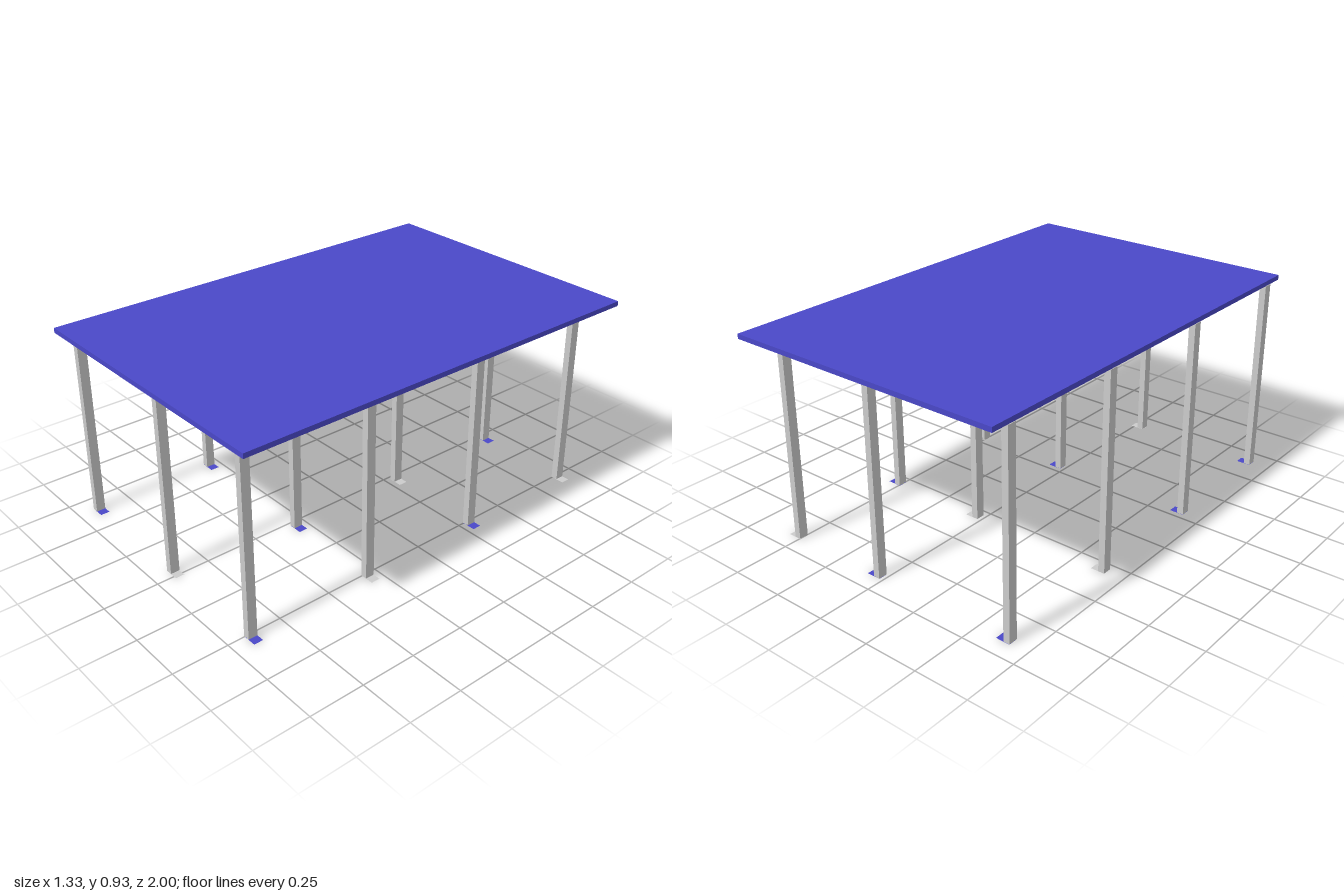
import * as THREE from 'three';

export function createModel() {
  const model = new THREE.Group();
  const blue = new THREE.MeshStandardMaterial({ color: 0x4a48c8 });
  const grey = new THREE.MeshStandardMaterial({ color: 0xcccccc });
  const blueThin = new THREE.MeshStandardMaterial({ color: 0x4a48c8, side: THREE.DoubleSide });
  const greyThin = new THREE.MeshStandardMaterial({ color: 0xcccccc, side: THREE.DoubleSide });

  const add = (name, geometry, material, x, y, z, parent = model) => {
    const mesh = new THREE.Mesh(geometry, material);
    mesh.name = name;
    mesh.position.set(x, y, z);
    parent.add(mesh);
  };

  // Flat roof slab
  const roofBottom = 0.903, roofThickness = 0.022;
  add('roof', new THREE.BoxGeometry(1.326, roofThickness, 2), blue, 0, roofBottom + roofThickness / 2, 0);

  // Posts, each on a paper-thin base plate reaching out to +x
  const postWidth = 0.03, postDepth = 0.042, plateReach = 0.036, lift = 0.001;
  const postGeometry = new THREE.BoxGeometry(postWidth, roofBottom - lift, postDepth);
  const plateGeometry = new THREE.PlaneGeometry(postWidth + plateReach, postDepth).rotateX(-Math.PI / 2);

  const addPost = (x, z, bluePlate) => {
    const post = new THREE.Group();
    post.name = 'post';
    post.position.set(x, 0, z);
    add('postShaft', postGeometry, grey, 0, (roofBottom + lift) / 2, 0, post);
    add('basePlate', plateGeometry, bluePlate ? blueThin : greyThin, plateReach / 2, 0, 0, post);
    model.add(post);
  };

  // Four rows from front to back; the front middle post is offset
  const rows = [
    { z: 0.9, xs: [-0.651, -0.037, 0.511], blues: [true, false, true] },
    { z: 0.3, xs: [-0.651, 0.032, 0.511], blues: [true, true, false] },
    { z: -0.3, xs: [-0.651, 0.032, 0.511], blues: [false, false, true] },
    { z: -0.9, xs: [-0.651, 0.032, 0.511], blues: [true, true, false] },
  ];
  for (const { z, xs, blues } of rows) xs.forEach((x, i) => addPost(x, z, blues[i]));

  return model;
}
